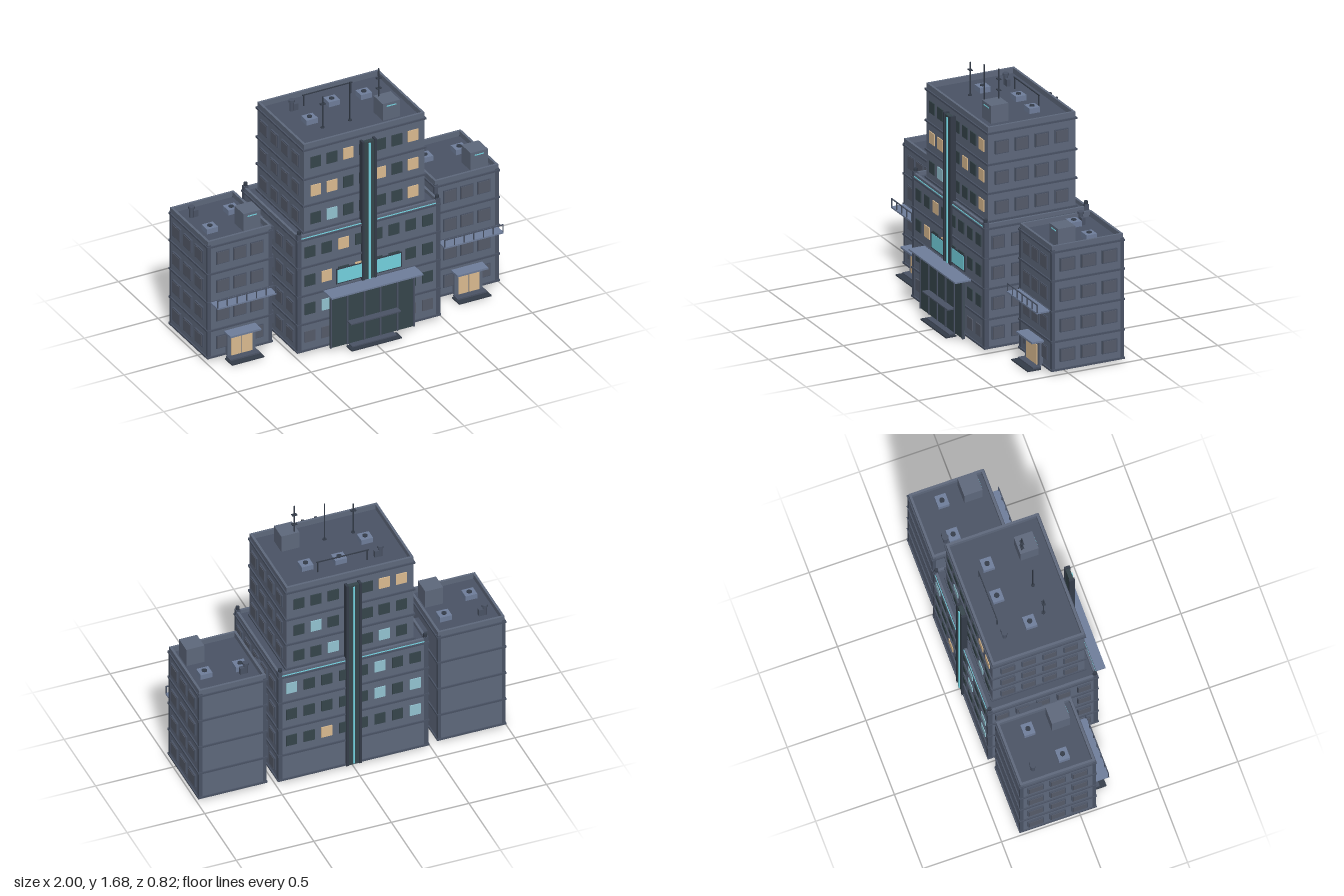
import * as THREE from 'three';

const mat = (color) => new THREE.MeshStandardMaterial({ color });
const M = {
  wall: mat(0x5e687c), panel: mat(0x555b6a), trim: mat(0x4a5365), light: mat(0x6f7e9b), roof: mat(0x585f6e),
  dark: mat(0x343c49), glass: mat(0x36454b), warm: mat(0xdcbc91), blue: mat(0x93c4d2), cyan: mat(0x74d3e0),
};

// Box given by its min/max on each axis
function box(parent, name, m, x0, x1, y0, y1, z0, z1) {
  const mesh = new THREE.Mesh(new THREE.BoxGeometry(x1 - x0, y1 - y0, z1 - z0), M[m]);
  mesh.position.set((x0 + x1) / 2, (y0 + y1) / 2, (z0 + z1) / 2);
  mesh.name = name;
  parent.add(mesh);
  return mesh;
}

function rod(parent, name, m, r, x, y0, y1, z) {
  const mesh = new THREE.Mesh(new THREE.CylinderGeometry(r, r, y1 - y0, 12), M[m]);
  mesh.position.set(x, (y0 + y1) / 2, z);
  mesh.name = name;
  parent.add(mesh);
}

function group(parent, name, x = 0) {
  const g = new THREE.Group();
  g.name = name;
  g.position.x = x;
  parent.add(g);
  return g;
}

// Walls up to the roof, raised parapet rim and floor bands
function block(p, w, y0, y1, z0, z1, bands) {
  const h = w / 2, t = 0.015, r = y1 - 0.04, e = 0.008;
  box(p, 'walls', 'wall', -h, h, y0, r, z0, z1);
  box(p, 'roof', 'roof', -h + t, h - t, r, r + 0.002, z0 + t, z1 - t);
  for (const s of [-1, 1]) {
    const x = s * (h - t / 2);
    box(p, 'parapetSide', 'wall', x - t / 2, x + t / 2, r, y1, z0, z1);
  }
  box(p, 'parapetBack', 'wall', -h + t, h - t, r, y1, z0, z0 + t);
  box(p, 'parapetFront', 'wall', -h + t, h - t, r, y1, z1 - t, z1);
  for (const y of bands) box(p, 'floorBand', 'trim', -h - e, h + e, y - 0.006, y + 0.006, z0 - e, z1 + e);
}

// Window on a front or back wall (dir = +1 or -1)
function window_(p, m, x, y, z, dir, w = 0.07, h = 0.075) {
  const d = 0.006 * dir;
  box(p, 'window', m, x - w / 2, x + w / 2, y - h / 2, y + h / 2, Math.min(z, z + d), Math.max(z, z + d));
}

// Projecting window on a side wall
function sideWindow(p, x, y, z, s, w = 0.09, h = 0.085) {
  for (const [m, k, d] of [['trim', 0, 0.011], ['panel', 0.006, 0.014]])
    box(p, 'sideWindow', m, Math.min(x, x + s * d), Math.max(x, x + s * d),
      y - h / 2 + k, y + h / 2 - k, z - w / 2 + k, z + w / 2 - k);
}

function airUnit(p, x, y, z) {
  box(p, 'airUnit', 'light', x - 0.038, x + 0.038, y, y + 0.04, z - 0.035, z + 0.035);
  rod(p, 'airUnitFan', 'dark', 0.016, x, y + 0.04, y + 0.046, z);
}

function ventPipe(p, x, y, z) {
  rod(p, 'ventPipe', 'trim', 0.014, x, y, y + 0.07, z);
  rod(p, 'ventCap', 'trim', 0.02, x, y + 0.066, y + 0.08, z);
  box(p, 'ventBox', 'trim', x + 0.01, x + 0.04, y, y + 0.05, z - 0.012, z + 0.012);
}

function roofHouse(p, x, y, z, top) {
  box(p, 'roofHouse', 'wall', x - 0.058, x + 0.058, y, top, z - 0.058, z + 0.058);
  box(p, 'roofHouseLight', 'cyan', x - 0.032, x + 0.032, top - 0.024, top - 0.018, z + 0.057, z + 0.061);
}

function antenna(p, x, y, z, top, bars) {
  rod(p, 'antenna', 'dark', 0.004, x, y, top, z);
  rod(p, 'antennaFoot', 'dark', 0.012, x, y, y + 0.012, z);
  for (const b of bars) box(p, 'antennaBar', 'dark', x - 0.016, x + 0.016, b - 0.003, b + 0.003, z - 0.01, z + 0.01);
}

const ROWS = [0.12, 0.31, 0.505, 0.7], UPPER_ROWS = [0.89, 1.08, 1.275];

// Lit windows: "row,column" -> material, columns counted from -x
const LIT = {
  lowerFront: { '3,2': 'warm', '2,1': 'warm', '2,3': 'warm', '1,1': 'blue' },
  lowerBack: { '3,2': 'blue', '3,7': 'blue', '2,2': 'blue', '2,0': 'blue', '1,5': 'warm', '1,0': 'blue' },
  upperFront: { '2,2': 'warm', '2,6': 'warm', '1,0': 'warm', '1,1': 'warm', '1,4': 'warm', '1,6': 'warm', '0,1': 'blue', '0,6': 'warm' },
  upperBack: { '2,0': 'warm', '2,1': 'warm', '1,5': 'blue', '0,4': 'blue', '0,1': 'blue' },
};

function windowGrid(p, rows, cols, step, z, dir, lit) {
  rows.forEach((y, r) => {
    for (let c = 0; c < cols; c++)
      window_(p, lit[`${r},${c}`] || (y < 0.2 ? 'panel' : 'glass'), (c - (cols - 1) / 2) * step, y, z, dir);
  });
}

function buildTower(root) {
  const lower = group(root, 'lowerTower'), upper = group(root, 'upperTower');
  block(lower, 0.96, 0.02, 0.82, -0.395, 0.295, [0.028, 0.21, 0.405, 0.6, 0.79]);
  box(lower, 'terrace', 'light', -0.47, 0.47, 0.78, 0.795, -0.385, 0.285);
  box(lower, 'terraceLightFront', 'cyan', -0.46, 0.46, 0.798, 0.803, 0.295, 0.299);
  box(lower, 'terraceLightBack', 'cyan', -0.46, 0.46, 0.798, 0.803, -0.399, -0.395);
  block(upper, 0.82, 0.78, 1.41, -0.345, 0.24, [0.805, 0.985, 1.17, 1.37]);

  // Windows on all four sides
  windowGrid(lower, ROWS, 8, 0.114, 0.295, 1, LIT.lowerFront);
  windowGrid(lower, ROWS.slice(1), 8, 0.114, -0.395, -1, Object.fromEntries(
    Object.entries(LIT.lowerBack).map(([k, v]) => [`${k[0] - 1}${k.slice(1)}`, v])));
  windowGrid(upper, UPPER_ROWS, 7, 0.11, 0.24, 1, LIT.upperFront);
  windowGrid(upper, UPPER_ROWS, 7, 0.11, -0.345, -1, LIT.upperBack);
  for (const s of [-1, 1]) {
    for (const y of ROWS) for (let i = -2; i <= 2; i++) sideWindow(lower, s * 0.48, y, -0.05 + i * 0.13, s, 0.085);
    for (const y of UPPER_ROWS) for (let i = 0; i < 4; i++) sideWindow(upper, s * 0.41, y, 0.15 - i * 0.133, s);
    // Corner posts with round caps
    for (const z of [-0.385, 0.285]) {
      box(lower, 'cornerPost', 'trim', s * 0.47 - 0.014, s * 0.47 + 0.014, 0.02, 0.83, z - 0.014, z + 0.014);
      rod(lower, 'cornerCap', 'dark', 0.012, s * 0.468, 0.83, 0.85, z);
    }
  }

  // Tall fins with a glowing strip, front and back
  for (const [s, y0, z] of [[1, 0.4, 0.292], [-1, 0.02, -0.392]]) {
    const fin = group(root, s > 0 ? 'frontFin' : 'backFin');
    box(fin, 'finPanel', 'glass', -0.045, 0.045, y0, 1.355, z - 0.013, z + 0.013);
    for (const x of [-0.042, 0.042]) box(fin, 'finRib', 'dark', x - 0.008, x + 0.008, y0, 1.362, z - 0.018, z + 0.018);
    box(fin, 'finLight', 'cyan', -0.006, 0.006, y0 + 0.01, 1.345, z + s * 0.016 - 0.004, z + s * 0.016 + 0.004);
  }

  // Roof equipment
  const top = group(root, 'towerRoofEquipment'), R = 1.37;
  roofHouse(top, 0.228, R, 0.1, 1.49);
  for (const [x, z] of [[-0.22, -0.04], [0, -0.17], [0.21, -0.155]]) airUnit(top, x, R, z);
  ventPipe(top, -0.25, R, -0.21);
  box(top, 'pipeRun', 'dark', -0.17, 0.17, 1.446, 1.452, -0.228, -0.222);
  for (const x of [-0.16, 0.16]) box(top, 'pipeSupport', 'dark', x - 0.003, x + 0.003, R, 1.448, -0.228, -0.222);
  antenna(top, -0.185, R, 0.06, 1.59, [1.54]);
  antenna(top, 0, R, 0.06, 1.64, []);
  antenna(top, 0.195, R, 0.06, 1.68, [1.545, 1.615]);
}

function buildLobby(root) {
  const g = group(root, 'lobby');
  box(g, 'glassFront', 'glass', -0.285, 0.285, 0.025, 0.39, 0.334, 0.342);
  for (const x of [-0.28, -0.17, -0.055, 0.055, 0.17, 0.28])
    box(g, 'mullion', 'trim', x - 0.005, x + 0.005, 0.025, 0.39, 0.332, 0.348);
  box(g, 'canopy', 'light', -0.31, 0.31, 0.4, 0.41, 0.29, 0.41);
  box(g, 'doorAwning', 'trim', -0.17, 0.17, 0.176, 0.184, 0.3, 0.39);
  box(g, 'doors', 'warm', -0.15, 0.15, 0.015, 0.15, 0.295, 0.308);
  box(g, 'upperStep', 'trim', -0.15, 0.15, 0.008, 0.016, 0.32, 0.37);
  box(g, 'lowerStep', 'dark', -0.17, 0.17, 0, 0.008, 0.33, 0.4);
  box(g, 'lightPanel', 'cyan', -0.215, 0.215, 0.435, 0.525, 0.295, 0.304);
  box(g, 'lightPanelFrame', 'dark', -0.222, 0.222, 0.428, 0.532, 0.294, 0.302);
}

function buildWing(root, s) {
  const g = group(root, s > 0 ? 'leftWing' : 'rightWing', s * 0.77), F = 0.1;
  block(g, 0.43, 0.02, 0.825, -0.375, F, [0.028, 0.21, 0.405, 0.6, 0.785]);
  for (const y of ROWS) {
    for (const x of [-0.115, 0, 0.115]) {
      window_(g, 'trim', x, y, F, 1, 0.09, 0.088);
      window_(g, 'panel', x, y, F + 0.003, 1, 0.08, 0.078);
    }
    for (const z of [0, -0.14, -0.28]) sideWindow(g, s * 0.215, y, z, s, 0.1);
  }
  for (const x of [-0.207, 0.207]) for (const z of [-0.367, 0.092])
    box(g, 'cornerPost', 'trim', x - 0.011, x + 0.011, 0.02, 0.8, z - 0.011, z + 0.011);

  // Balcony with a railing
  box(g, 'balcony', 'light', -0.2, 0.2, 0.4, 0.41, F, 0.195);
  box(g, 'railTop', 'trim', -0.2, 0.2, 0.456, 0.462, 0.188, 0.194);
  for (let i = 0; i < 7; i++) {
    const x = -0.197 + i * 0.0657;
    box(g, 'railPost', 'trim', x - 0.003, x + 0.003, 0.41, 0.458, 0.188, 0.194);
  }

  // Entrance
  box(g, 'portal', 'wall', -0.095, 0.095, 0.02, 0.175, F, 0.125);
  box(g, 'entranceAwning', 'light', -0.105, 0.105, 0.172, 0.184, F, 0.18);
  for (const x of [-0.036, 0.036]) box(g, 'door', 'warm', x - 0.034, x + 0.034, 0.02, 0.148, 0.124, 0.13);
  box(g, 'upperStep', 'trim', -0.1, 0.1, 0.008, 0.018, 0.115, 0.17);
  box(g, 'lowerStep', 'dark', -0.11, 0.11, 0, 0.008, 0.12, 0.21);

  // Roof equipment
  const R = 0.785;
  roofHouse(g, 0.118, R, -0.018, 0.912);
  ventPipe(g, -0.13, R, -0.265);
  for (const [x, z] of s > 0 ? [[-0.115, -0.21], [0.11, -0.2]] : [[0.11, -0.21], [-0.11, -0.07]]) airUnit(g, x, R, z);

  // Glazed bridge to the tower
  const b = group(root, 'bridge', s * 0.52);
  box(b, 'bridgeGlass', 'glass', -0.045, 0.045, 0.605, 0.715, -0.2, -0.075);
  box(b, 'bridgeRoof', 'trim', -0.045, 0.045, 0.712, 0.724, -0.21, -0.065);
  box(b, 'bridgeFloor', 'trim', -0.045, 0.045, 0.592, 0.606, -0.21, -0.065);
  for (const z of [-0.21, -0.065]) box(b, 'bridgeLight', 'cyan', -0.04, 0.04, 0.598, 0.602, z - 0.002, z + 0.002);
  for (const x of [-0.02, 0.02]) box(b, 'bridgeMullion', 'trim', x - 0.003, x + 0.003, 0.605, 0.715, -0.204, -0.071);
}

export function createModel() {
  const root = new THREE.Group();
  root.name = 'officeBuilding';
  buildTower(root);
  buildLobby(root);
  for (const s of [-1, 1]) buildWing(root, s);
  return root;
}
